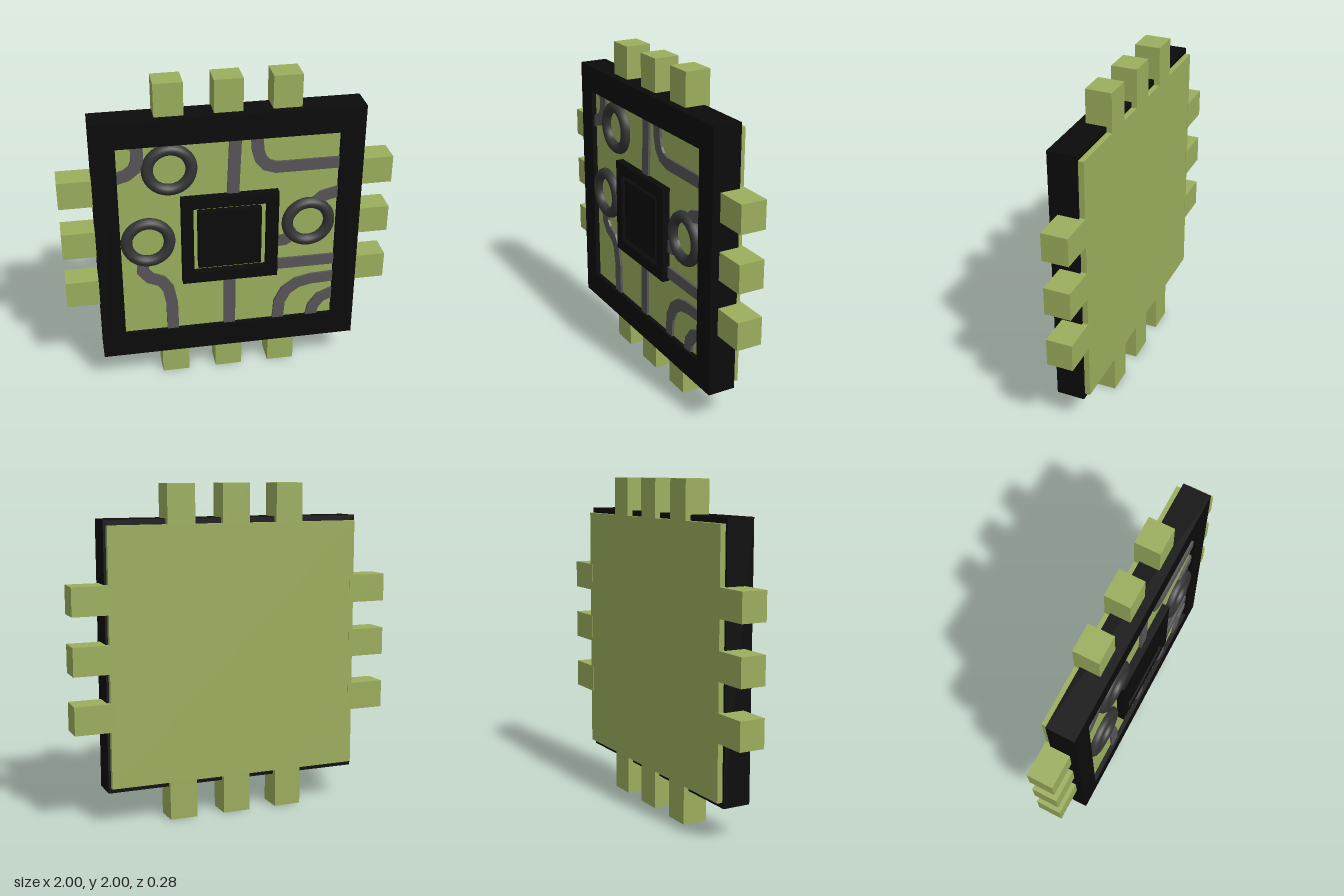
import * as THREE from 'three';

const mat = (color) => new THREE.MeshStandardMaterial({ color });

// Square ring with a square opening, extruded from z0 to z1
function squareRing(outer, inX, inY, z0, z1) {
  const rect = (target, w, h) => {
    target.moveTo(-w, -h);
    target.lineTo(w, -h);
    target.lineTo(w, h);
    target.lineTo(-w, h);
    target.closePath();
    return target;
  };
  const shape = rect(new THREE.Shape(), outer, outer);
  shape.holes.push(rect(new THREE.Path(), inX, inY));
  return new THREE.ExtrudeGeometry(shape, { depth: z1 - z0, bevelEnabled: false }).translate(0, 0, z0);
}

// Flat strip of constant width following a path of [x, y] points
function strip(path, width, z0, z1) {
  const pts = path.map(([x, y]) => new THREE.Vector2(x, y));
  const left = [], right = [];
  pts.forEach((p, i) => {
    const a = pts[Math.max(i - 1, 0)], b = pts[Math.min(i + 1, pts.length - 1)];
    const d1 = (i ? p.clone().sub(a) : b.clone().sub(p)).normalize();
    const d2 = (i < pts.length - 1 ? b.clone().sub(p) : d1.clone()).normalize();
    const t = d1.clone().add(d2).normalize();
    const n = new THREE.Vector2(-t.y, t.x).multiplyScalar(width / 2 / t.dot(d1));
    left.push(p.clone().add(n));
    right.unshift(p.clone().sub(n));
  });
  const shape = new THREE.Shape([...left, ...right]);
  return new THREE.ExtrudeGeometry(shape, { depth: z1 - z0, bevelEnabled: false }).translate(0, 0, z0);
}

export function createModel() {
  const group = new THREE.Group();
  const chip = new THREE.Group();
  chip.name = 'circuitBoard';
  chip.position.y = 1;
  chip.rotation.set(0.003, -0.035, 0);
  group.add(chip);

  const green = mat(0x9bae5d), black = mat(0x0b0b0b), grey = mat(0x575557), dark = mat(0x343434);
  const add = (name, geometry, material, x = 0, y = 0, z = 0) => {
    const mesh = new THREE.Mesh(geometry, material);
    mesh.name = name;
    mesh.position.set(x, y, z);
    chip.add(mesh);
    return mesh;
  };
  const box = (name, w, h, z0, z1, material, x = 0, y = 0) =>
    add(name, new THREE.BoxGeometry(w, h, z1 - z0), material, x, y, (z0 + z1) / 2);

  // Board: back plate and raised floor inside the frame
  box('backPlate', 1.57, 1.535, -0.1, -0.06, green);
  box('boardFloor', 1.36, 1.32, -0.08, 0.075, green);

  // Outer frame
  add('outerFrame', squareRing(0.8, 0.657, 0.64, -0.067, 0.104), black);

  // Contact pins, three on each side
  for (const offset of [-0.343, 0, 0.343]) {
    for (const side of [-1, 1]) {
      box('sidePin', 0.24, 0.17, -0.102, 0.055, green, side * 0.88, offset + 0.003);
      box('endPin', 0.17, 0.24, -0.1, 0.055, green, offset, side * 0.88);
    }
  }

  // Processor: square rim with a block in the middle
  add('processorRim', squareRing(0.293, 0.222, 0.222, 0.05, 0.122), black);
  box('processorCore', 0.385, 0.385, 0.05, 0.115, black, -0.002, 0);

  // Circuit traces
  const traces = [
    [[0.035, 0.66], [0.02, 0.27]],
    [[0.002, -0.27], [0, -0.66]],
    [[0.16, 0.66], [0.167, 0.56], [0.185, 0.5], [0.22, 0.46], [0.28, 0.44], [0.67, 0.44]],
    [[-0.535, 0.66], [-0.535, 0.55], [-0.555, 0.5], [-0.6, 0.465], [-0.67, 0.445]],
    [[-0.53, -0.12], [-0.53, -0.2], [-0.49, -0.25], [-0.42, -0.28], [-0.38, -0.34], [-0.36, -0.45], [-0.358, -0.66]],
    [[0.27, -0.235], [0.67, -0.235]],
    [[0.31, -0.66], [0.32, -0.52], [0.36, -0.44], [0.43, -0.39], [0.52, -0.37], [0.67, -0.365]],
    [[0.525, -0.66], [0.54, -0.58], [0.585, -0.52], [0.67, -0.485]],
    [[0.27, -0.07], [0.34, -0.065], [0.42, -0.02]],
    [[0.5, 0.16], [0.57, 0.22], [0.67, 0.245]],
  ];
  for (const path of traces) add('trace', strip(path, 0.072, 0.06, 0.09), grey);

  // Ring components
  for (const [x, y] of [[-0.352, 0.48], [-0.492, 0.005], [0.484, 0.053]]) {
    add('ring', new THREE.TorusGeometry(0.129, 0.035, 12, 40), dark, x, y, 0.083);
  }

  return group;
}
